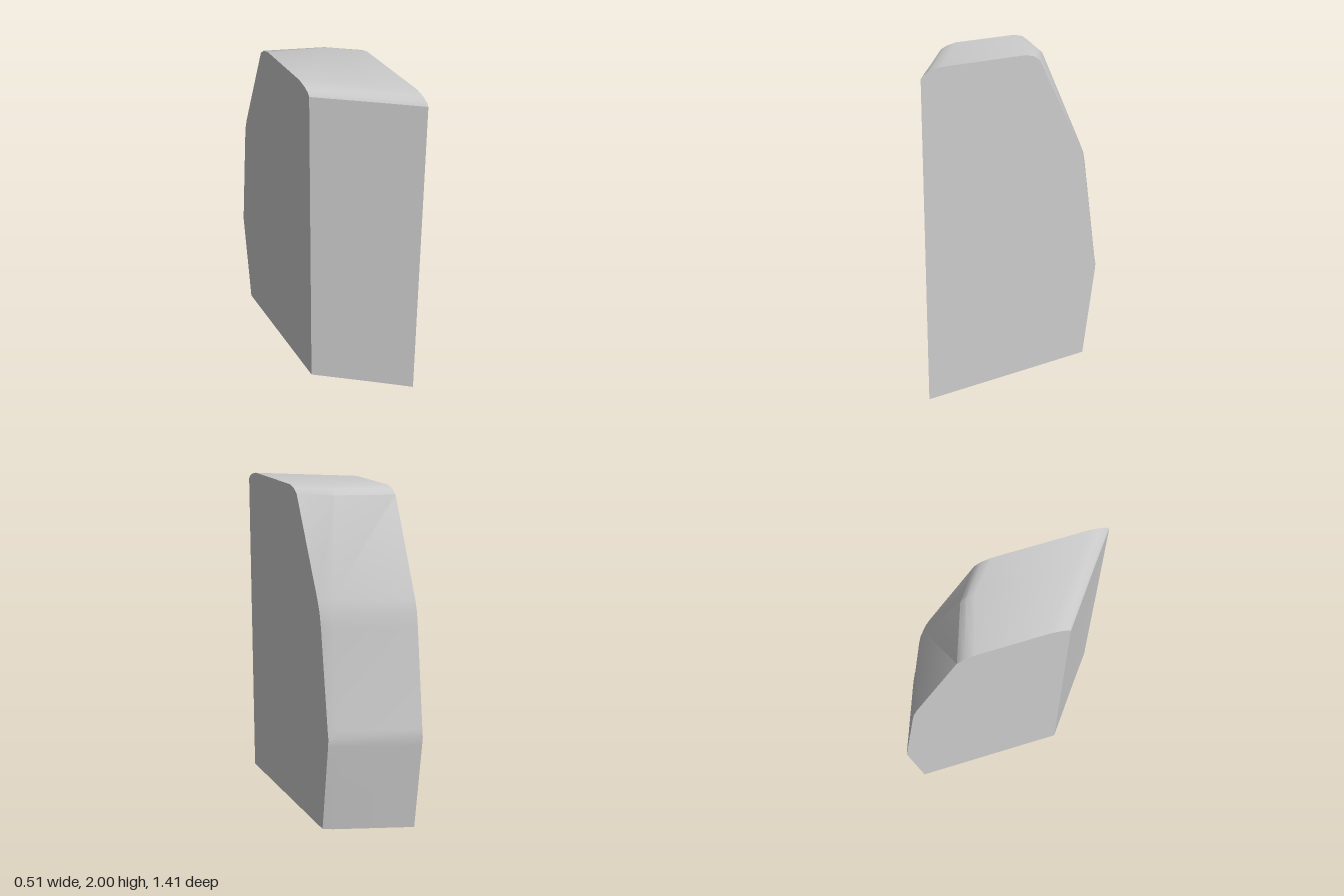
import * as THREE from 'three';
import { toCreasedNormals } from 'three/addons/utils/BufferGeometryUtils.js';

const W = 0.255; // half width

// Front edge: inset from the front plane and height, rounding over into the top
const FRONT = [[0, 0], [0, 1.95], [0.015, 1.968], [0.055, 1.987], [0.12, 2]];
// Heights of the back edge, from the top down, with soft bends
const BACK_Y = [2, 1.985, 1.955, 1.4, 1.33, 1.24, 0.65, 0.6, 0.55, 0];

// One closed upright profile; x may differ along the back
function profile(x, frontZ, backZ, backX = () => x) {
  return [
    ...FRONT.map(([inset, y]) => new THREE.Vector3(x, y, frontZ - inset)),
    ...BACK_Y.map((y, i) => new THREE.Vector3(backX(y), y, backZ[i])),
  ];
}

function bodyGeometry() {
  const sections = [
    // right side
    profile(-W, 0.31, [-0.22, -0.28, -0.32, -0.575, -0.6, -0.615, -0.695, -0.703, -0.697, -0.625]),
    // soft ridge running down the back
    profile(0.08, 0.566, [-0.12, -0.165, -0.2, -0.405, -0.43, -0.445, -0.52, -0.53, -0.525, -0.45],
      (y) => (y > 1.4 ? 0.08 : y > 1.33 ? 0.19 : 0.2)),
    // left side
    profile(W, 0.703, [0.03, -0.03, -0.07, -0.355, -0.385, -0.405, -0.495, -0.505, -0.5, -0.42]),
  ];
  const pos = [];
  const tri = (a, b, c) => [a, b, c].forEach((p) => pos.push(p.x, p.y, p.z));
  const n = sections[0].length;

  // Skin between neighbouring profiles
  for (let s = 0; s < 2; s++) {
    const a = sections[s], b = sections[s + 1];
    for (let i = 0; i < n; i++) {
      const j = (i + 1) % n;
      tri(a[i], b[i], b[j]);
      tri(a[i], b[j], a[j]);
    }
  }
  // Flat side walls
  const [right, , left] = sections;
  for (let i = 1; i < n - 1; i++) {
    tri(right[0], right[i], right[i + 1]);
    tri(left[0], left[i + 1], left[i]);
  }
  const geo = new THREE.BufferGeometry();
  geo.setAttribute('position', new THREE.Float32BufferAttribute(pos, 3));
  return toCreasedNormals(geo, 0.5);
}

export function createModel() {
  const group = new THREE.Group();
  group.name = 'slantedBlock';
  const body = new THREE.Mesh(bodyGeometry(), new THREE.MeshStandardMaterial({ color: 0xcccccc }));
  body.name = 'body';
  group.add(body);
  return group;
}
